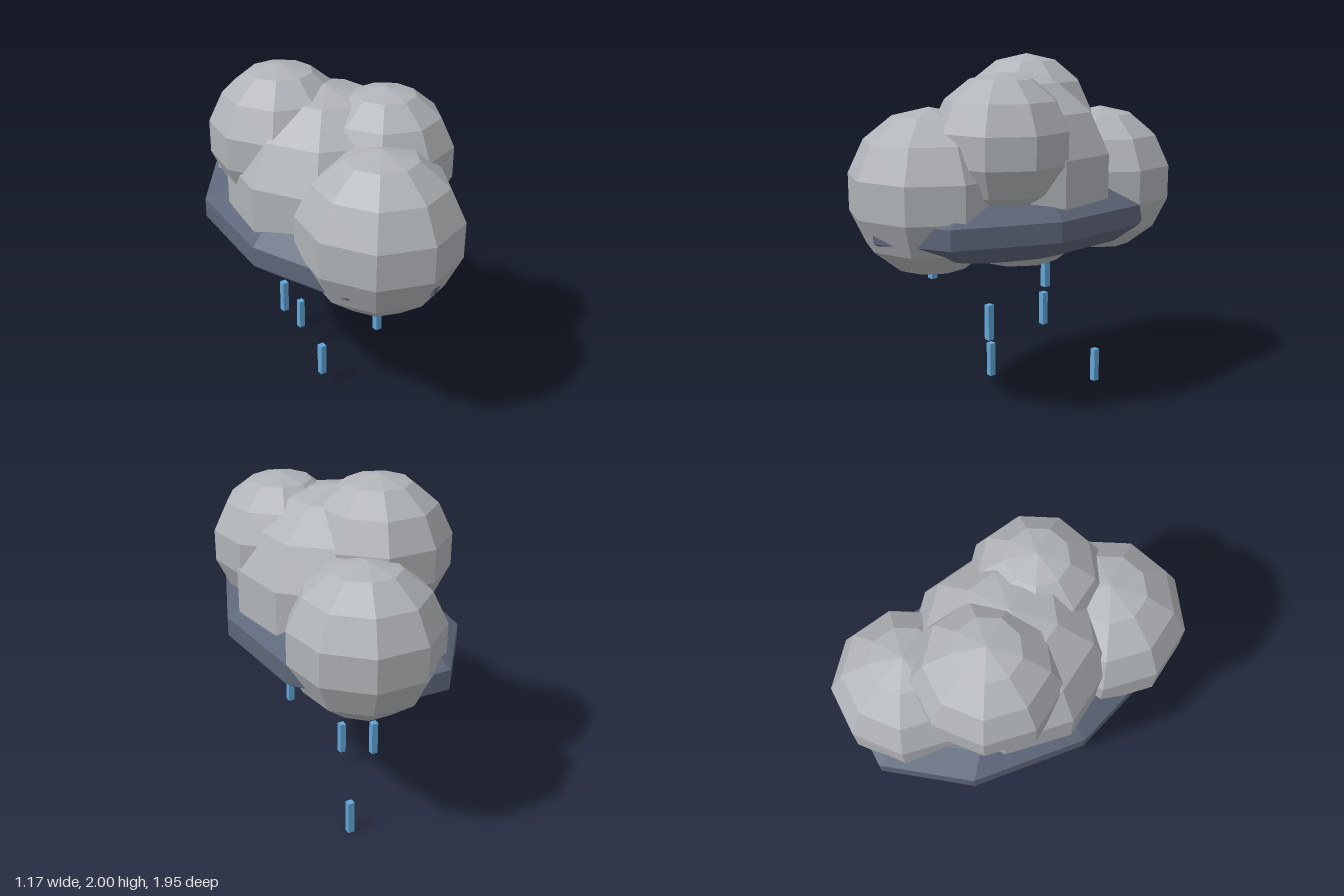
import * as THREE from 'three';

export function createModel() {
  const group = new THREE.Group();
  const cloudGrey = new THREE.MeshStandardMaterial({ color: 0xb0b3b7, flatShading: true });
  cloudGrey.name = 'cloud grey';
  const stormGrey = new THREE.MeshStandardMaterial({ color: 0x5d6679, flatShading: true });
  stormGrey.name = 'storm grey';
  const rainBlue = new THREE.MeshStandardMaterial({ color: 0x62a6d8, flatShading: true });
  rainBlue.name = 'rain blue';

  // Faceted ball with one corner of each ring pointing to the front
  const ball = new THREE.SphereGeometry(1, 9, 7).rotateY(Math.PI / 2);

  function add(name, geometry, material, position, scale) {
    const mesh = new THREE.Mesh(geometry, material);
    mesh.name = name;
    mesh.position.set(...position);
    mesh.scale.set(...scale);
    group.add(mesh);
  }

  // Cloud puffs: name, x, y, z, radius
  const puffs = [
    ['centrePuff', 0, 1.35, -0.03, 0.56],
    ['frontPuff', -0.05, 1.285, 0.525, 0.458],
    ['backPuff', 0.1, 1.265, -0.585, 0.43],
    ['topRightPuff', -0.155, 1.592, -0.23, 0.408],
    ['topLeftPuff', 0.2, 1.54, 0.23, 0.39],
  ];
  for (const [name, x, y, z, r] of puffs) add(name, ball, cloudGrey, [x, y, z], [r, r, r]);

  // Flattened dark base of the cloud
  add('stormBase', ball, stormGrey, [0, 1.115, -0.035], [0.61, 0.25, 0.975]);

  // Falling raindrops: x, bottom y, z
  const drop = new THREE.BoxGeometry(0.038, 0.203, 0.038);
  const drops = [
    [-0.105, 0.78, 0.483], [0.15, 0.68, 0.28 - 0.407], [0.15, 0.443, 0.28],
    [-0.105, 0.343, -0.33], [-0.105, 0.103, 0.077], [0.15, 0, -0.533],
  ];
  drops.forEach(([x, y, z], i) =>
    add('raindrop' + (i + 1), drop, rainBlue, [x, y + 0.1015, z], [1, 1, 1]));

  return group;
}
